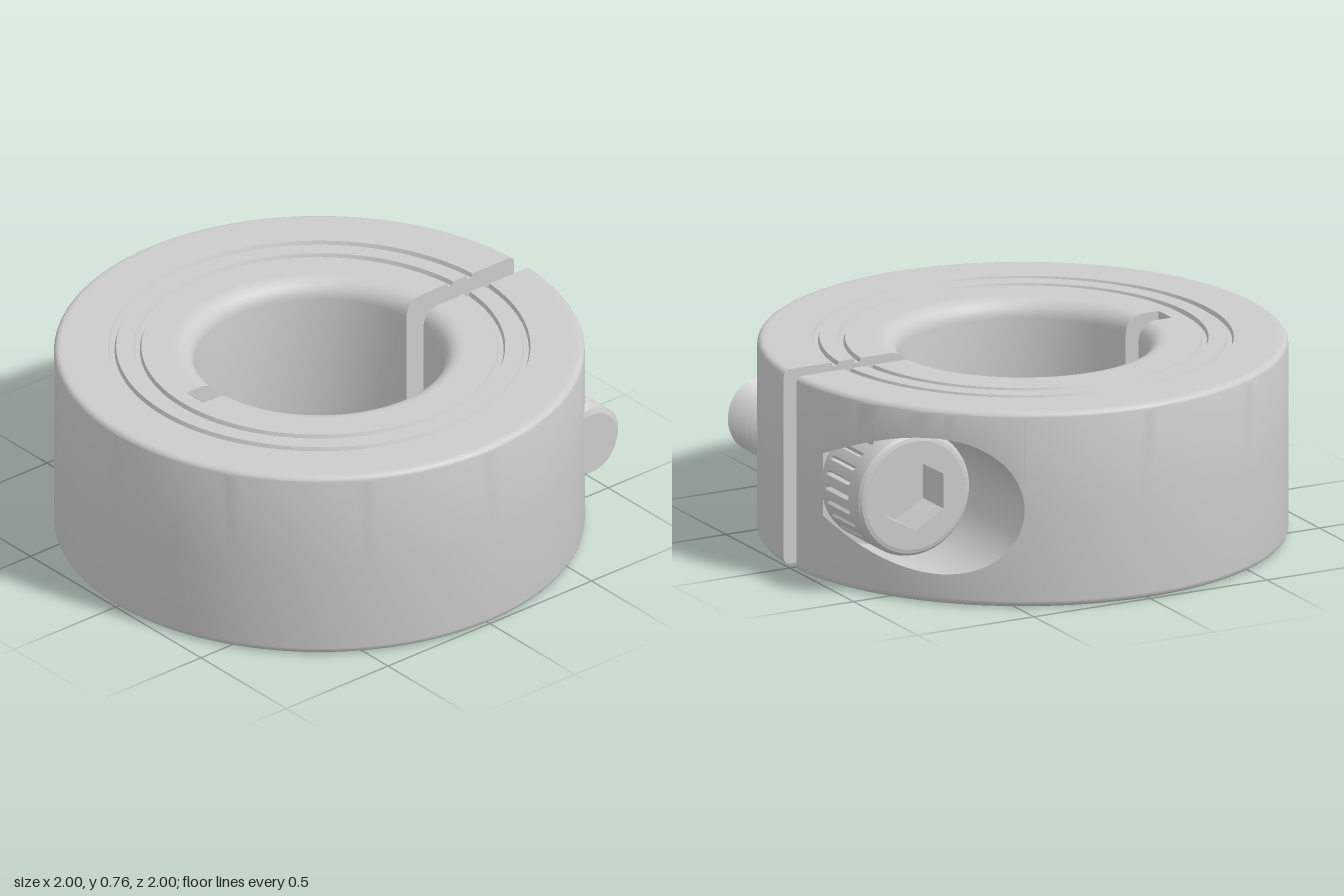
import * as THREE from 'three';
import { toCreasedNormals } from 'three/addons/utils/BufferGeometryUtils.js';

const H = 0.765, YC = 0.383, BORE = 0.472, SLIT = 0.05, NOTCH = 0.612;
const SCREW_Z = -0.74, POCKET_R = 0.266, SEAT_X = -0.216;
const material = new THREE.MeshStandardMaterial({ color: 0xcccccc, side: THREE.DoubleSide });

function mesh(name, geometry, crease = 0.5) {
  const m = new THREE.Mesh(toCreasedNormals(geometry, crease), material);
  m.name = name;
  return m;
}

// Surface through rows of points, leaving out collapsed triangles
function grid(rows, flip = false) {
  const n = rows[0].length, index = [];
  const pts = rows.flat().map(p => new THREE.Vector3(...p));
  const add = (a, b, c) => {
    const t = new THREE.Triangle(pts[a], pts[b], pts[c]);
    if (t.getArea() > 1e-7) index.push(...(flip ? [a, c, b] : [a, b, c]));
  };
  for (let i = 0; i < rows.length - 1; i++) {
    for (let j = 0; j < n - 1; j++) {
      const a = i * n + j;
      add(a, a + 1, a + n);
      add(a + 1, a + n + 1, a + n);
    }
  }
  const g = new THREE.BufferGeometry().setFromPoints(pts);
  g.setIndex(index);
  return g;
}

// Quarter-round profile points
function fillet(cx, cy, r, from, steps = 6) {
  return Array.from({ length: steps + 1 }, (_, i) => {
    const a = from - (i / steps) * Math.PI / 2;
    return [cx + r * Math.cos(a), cy + r * Math.sin(a)];
  });
}

// Section of the ring as [radius, y], from outer wall under, through the bore and over the top
function ringProfile() {
  const e = 0.025, f = 0.07;
  const groove = r => [[r, H], [r + 0.006, H - 0.016], [r + 0.024, H - 0.016], [r + 0.03, H]];
  return [
    ...fillet(1 - e, e, e, 0),
    [0.96, 0], [NOTCH, 0, true], [NOTCH, 0], [BORE + f + 0.01, 0],
    ...fillet(BORE + f, f, f, -Math.PI / 2),
    ...fillet(BORE + f, H - f, f, Math.PI),
    [BORE + f + 0.01, H], [NOTCH, H], [NOTCH, H, true],
    ...groove(0.67), ...groove(0.765), [0.96, H],
    ...fillet(1 - e, H - e, e, Math.PI / 2),
  ];
}

// Angles from the slit round to the front, with the half height of the pocket mouth at each
function ringColumns() {
  const start = Math.asin(-SEAT_X), end = Math.acos(-SCREW_Z - POCKET_R);
  const cols = [];
  for (let i = 0; i <= 72; i++) {
    const t = Math.PI * i / 72;
    if (t < start - 0.01 || t > end + 0.01) cols.push({ t, h: 0 });
  }
  cols.push({ t: start, h: 0 });
  for (let i = 0; i <= 32; i++) {
    const t = start + (end - start) * Math.sin(i / 32 * Math.PI / 2);
    const d = -Math.cos(t) - SCREW_Z;
    cols.push({ t, h: i === 32 ? 0 : Math.sqrt(Math.max(0, POCKET_R ** 2 - d * d)), pocket: true });
  }
  return cols.sort((a, b) => a.t - b.t);
}

// One half of the ring; side is +1 or -1, and the -1 half carries the pocket
function ringHalf(side) {
  const half = new THREE.Group();
  half.name = side > 0 ? 'leftRingHalf' : 'rightRingHalf';
  const profile = ringProfile(), cols = ringColumns();
  const open = c => (side < 0 ? c.h : 0);
  const at = (r, y, t, full) => {
    const w = r > NOTCH || full ? 0 : SLIT;
    const a = Math.min(Math.max(t, Math.asin(SLIT / r)), Math.PI - Math.asin(w / r));
    return [side * r * Math.sin(a), y, -r * Math.cos(a)];
  };
  const rows = [
    cols.map(c => at(1, YC - open(c), c.t)),
    ...profile.map(([r, y, full]) => cols.map(c => at(r, y, c.t, full))),
    cols.map(c => at(1, YC + open(c), c.t)),
  ];
  half.add(mesh('ringSurface', grid(rows, side < 0)));

  // Flat faces of the slit and of the front notch
  const face = (name, points, turn) => {
    const shape = new THREE.Shape(points.map(([r, y]) =>
      new THREE.Vector2(Math.sqrt(r * r - SLIT * SLIT), y)));
    const m = mesh(name, new THREE.ShapeGeometry(shape).rotateY(turn));
    m.position.x = side * SLIT;
    half.add(m);
  };
  face('slitFace', profile.filter(p => !p[2]), Math.PI / 2);
  face('notchFace', profile.filter(p => !p[2] && p[0] <= NOTCH), -Math.PI / 2);

  if (side < 0) {
    // Pocket wall and the flat seat under the screw head
    const mouth = cols.filter(c => c.pocket);
    const rim = [
      ...mouth.map(c => [-Math.sin(c.t), YC + c.h, -Math.cos(c.t)]),
      ...mouth.reverse().map(c => [-Math.sin(c.t), YC - c.h, -Math.cos(c.t)]),
    ];
    half.add(mesh('pocketWall', grid([rim, rim.map(p => [SEAT_X, p[1], p[2]])])));
    const seat = new THREE.CircleGeometry(POCKET_R, 64).rotateY(-Math.PI / 2);
    seat.translate(SEAT_X, YC, SCREW_Z);
    const pos = seat.attributes.position, limit = -Math.sqrt(1 - SEAT_X ** 2);
    for (let i = 0; i < pos.count; i++) pos.setZ(i, Math.max(pos.getZ(i), limit));
    half.add(mesh('pocketSeat', seat));
  }
  return half;
}

// Helical thread along x
function thread(x0, x1, pitch, root, crest) {
  const rows = [], n = 40, count = 2 * Math.ceil((x1 - x0) / pitch) + 3;
  for (let k = 0; k <= count; k++) {
    rows.push(Array.from({ length: n + 1 }, (_, j) => {
      const a = j / n * Math.PI * 2;
      const x = x0 + pitch * (k / 2 + j / n - 1);
      const r = k % 2 && x > x0 && x < x1 ? crest : root;
      return [Math.min(Math.max(x, x0), x1), r * Math.cos(a), r * Math.sin(a)];
    }));
  }
  return grid(rows);
}

function capScrew() {
  const screw = new THREE.Group();
  screw.name = 'clampScrew';
  screw.position.set(0, YC, SCREW_Z);
  screw.add(mesh('screwThread', thread(SEAT_X, 0.715, 0.045, 0.122, 0.146)));
  const tip = mesh('screwTip', new THREE.CircleGeometry(0.124, 40).rotateY(Math.PI / 2));
  tip.position.x = 0.715;
  screw.add(tip);

  // Head with short knurl grooves cut into its side
  const R = 0.242, L = 0.295, knurls = 26, per = 6;
  const outline = [[R, 0], [R, 0.03], [R, 0.04], [R, 0.2], [R, 0.21], [R, L - 0.03],
    [R - 0.004, L - 0.015], [R - 0.015, L - 0.004], [R - 0.03, L]];
  const head = new THREE.LatheGeometry(outline.map(p => new THREE.Vector2(...p)), knurls * per);
  const pos = head.attributes.position;
  for (let i = 0; i < pos.count; i++) {
    const ring = i % outline.length, column = Math.floor(i / outline.length);
    if ((ring === 2 || ring === 3) && column % per === 0) {
      pos.setX(i, pos.getX(i) * 0.93);
      pos.setZ(i, pos.getZ(i) * 0.93);
    }
  }
  const headMesh = mesh('screwHead', head.rotateZ(Math.PI / 2));
  headMesh.position.x = SEAT_X;
  screw.add(headMesh);

  // End face with the hexagonal socket
  const depth = 0.16;
  const disc = new THREE.Shape().absarc(0, 0, R - 0.03, 0, Math.PI * 2);
  disc.holes.push(new THREE.Path(Array.from({ length: 6 }, (_, i) => {
    const a = Math.PI / 2 - i * Math.PI / 3;
    return new THREE.Vector2(0.138 * Math.cos(a), 0.138 * Math.sin(a));
  })));
  const socket = mesh('hexSocket', new THREE.ExtrudeGeometry(disc,
    { depth, bevelEnabled: false, curveSegments: 48 }).rotateY(-Math.PI / 2));
  socket.position.x = SEAT_X - L + depth;
  const floor = mesh('socketFloor', new THREE.CircleGeometry(0.16, 32).rotateY(-Math.PI / 2));
  floor.position.x = SEAT_X - L + depth;
  screw.add(socket, floor);
  return screw;
}

export function createModel() {
  const model = new THREE.Group();
  model.name = 'shaftCollar';
  model.add(ringHalf(1), ringHalf(-1), capScrew());

  // End wall of the notch opposite the slit
  const notchEnd = mesh('notchEnd', new THREE.PlaneGeometry(SLIT * 2, H).rotateY(Math.PI));
  notchEnd.position.set(0, H / 2, Math.sqrt(NOTCH ** 2 - SLIT ** 2));
  model.add(notchEnd);
  return model;
}
